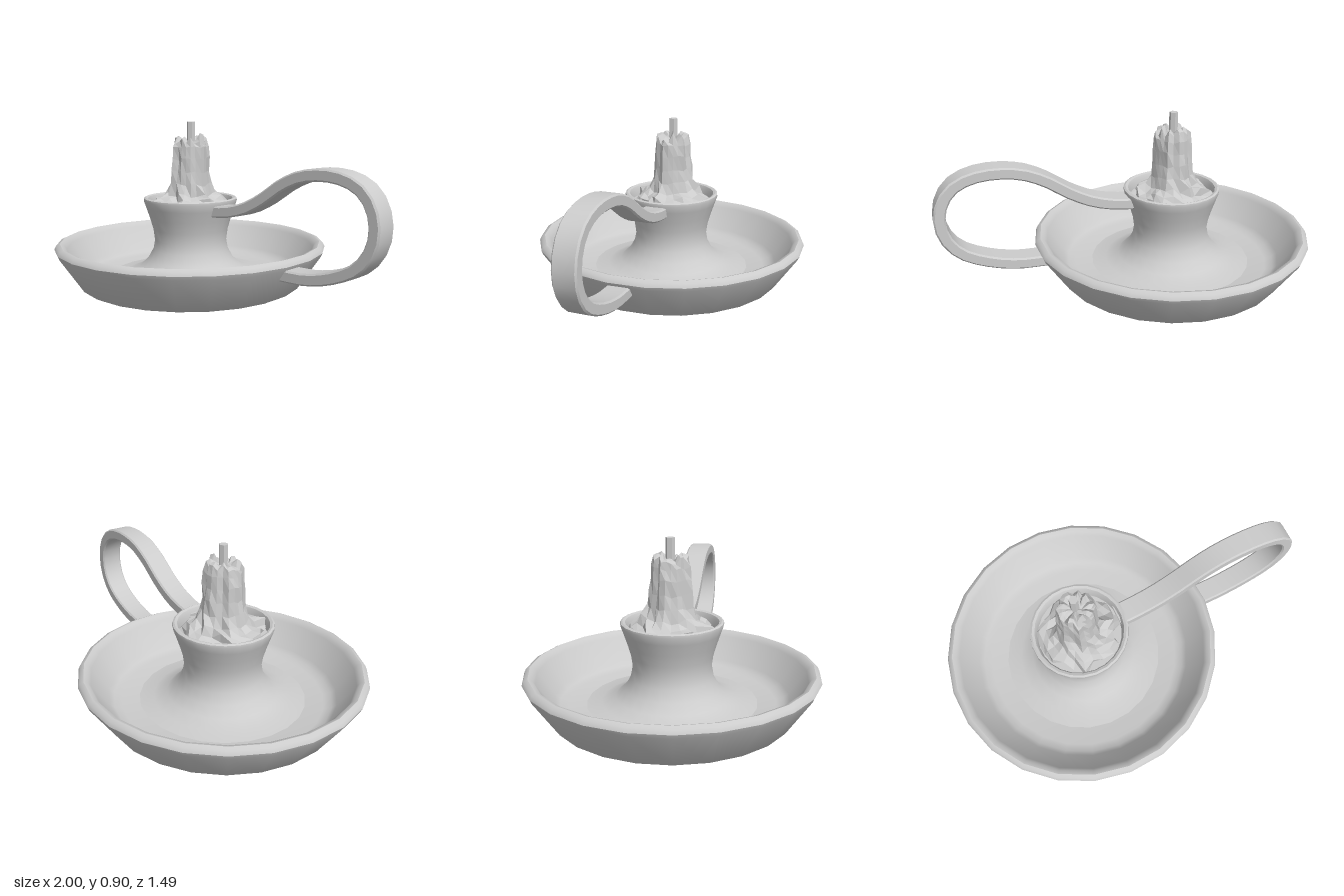
import * as THREE from 'three';
import { toCreasedNormals } from 'three/addons/utils/BufferGeometryUtils.js';

const CENTER_X = -0.255;
const SIDES = 24;

function material(options = {}) {
  return new THREE.MeshStandardMaterial({ color: 0xcccccc, ...options });
}

function seededRandom(seed) {
  let s = seed;
  return () => (s = (s * 16807) % 2147483647) / 2147483647;
}

function toPoints(pairs) {
  return pairs.map(([x, y]) => new THREE.Vector2(x, y));
}

// Smooth turned part with sharp corners kept
function turned(name, profile) {
  const lathe = new THREE.LatheGeometry(toPoints(profile), SIDES, THREE.MathUtils.degToRad(-4.3));
  const mesh = new THREE.Mesh(toCreasedNormals(lathe, 0.75), material());
  mesh.name = name;
  return mesh;
}

// Dish with sloping wall and rounded rim
function createDish() {
  return turned('dish', [
    [0, 0], [0.59, 0], [0.613, 0.012], [0.738, 0.195], [0.747, 0.215], [0.738, 0.235],
    [0.718, 0.245], [0.697, 0.237], [0.682, 0.215], [0.595, 0.095], [0.57, 0.072],
    [0.53, 0.06], [0, 0.06],
  ]);
}

// Waisted candle socket flaring into the dish floor
function createSocket() {
  return turned('socket', [
    [0.45, 0.058], [0.36, 0.07], [0.29, 0.095], [0.24, 0.14], [0.21, 0.195], [0.2, 0.25],
    [0.208, 0.31], [0.225, 0.37], [0.245, 0.43], [0.259, 0.47], [0.258, 0.482],
    [0.248, 0.487], [0.235, 0.482], [0.227, 0.465], [0.222, 0.43], [0, 0.43],
  ]);
}

// Melted candle: a lathe roughened into vertical drips and a craggy pool
function createCandle() {
  const profile = [
    [0.21, 0.43], [0.195, 0.465], [0.165, 0.485], [0.13, 0.51], [0.107, 0.56], [0.1, 0.63],
    [0.097, 0.7], [0.092, 0.76], [0.085, 0.805], [0.062, 0.815], [0.035, 0.795], [0, 0.79],
  ];
  const columns = 22;
  const rows = profile.length;
  const random = seededRandom(77);
  const ridge = Array.from({ length: columns }, () => random() - 0.5);
  const lift = Array.from({ length: columns }, () => random() - 0.5);
  const jitter = Array.from({ length: columns * rows }, () => random() - 0.5);
  const geometry = new THREE.LatheGeometry(toPoints(profile), columns);
  const pos = geometry.attributes.position;
  for (let i = 0; i < pos.count; i++) {
    const row = i % rows;
    const column = Math.floor(i / rows) % columns;
    if (row === rows - 1) continue;
    const j = jitter[column * rows + row];
    const pool = row < 4;
    const scale = 1 + ridge[column] * 0.22 + j * (pool ? 0.2 : 0.12);
    const top = row >= 8 && row <= 9;
    const dy = top ? lift[column] * 0.05 : pool && row > 0 ? j * 0.035 : j * 0.02;
    pos.setXYZ(i, pos.getX(i) * scale, pos.getY(i) + dy, pos.getZ(i) * scale);
  }
  const mesh = new THREE.Mesh(geometry.toNonIndexed(), material({ flatShading: true }));
  mesh.geometry.computeVertexNormals();
  mesh.name = 'candle';
  return mesh;
}

function createWick() {
  const mesh = new THREE.Mesh(
    new THREE.CylinderGeometry(0.023, 0.023, 0.14, 6),
    material({ flatShading: true }),
  );
  mesh.position.set(0, 0.83, -0.008);
  mesh.name = 'wick';
  return mesh;
}

// Looped strap handle: a band around a curve, extruded sideways with bevelled edges
function createHandle() {
  const path = [
    [0.445, 0.168], [0.6, 0.173], [0.75, 0.208], [0.88, 0.272], [0.948, 0.36], [0.968, 0.46],
    [0.942, 0.56], [0.88, 0.63], [0.78, 0.668], [0.66, 0.675], [0.54, 0.655], [0.43, 0.605],
    [0.32, 0.533], [0.2, 0.473], [0.08, 0.441], [-0.03, 0.43],
  ].map(([x, y]) => new THREE.Vector3(x, y, 0));
  const curve = new THREE.CatmullRomCurve3(path, false, 'centripetal');
  const bevel = 0.008;
  const half = 0.03 - bevel;
  const steps = 30;
  const outer = [];
  const inner = [];
  for (let i = 0; i <= steps; i++) {
    const p = curve.getPointAt(i / steps);
    const t = curve.getTangentAt(i / steps);
    outer.push(new THREE.Vector2(p.x + t.y * half, p.y - t.x * half));
    inner.unshift(new THREE.Vector2(p.x - t.y * half, p.y + t.x * half));
  }
  const depth = 0.12 - 2 * bevel;
  const band = new THREE.ExtrudeGeometry(new THREE.Shape([...outer, ...inner]), {
    depth, bevelEnabled: true, bevelSize: bevel, bevelThickness: bevel, bevelSegments: 1,
  });
  band.translate(0, 0, -depth / 2);
  const mesh = new THREE.Mesh(toCreasedNormals(band, 0.6), material());
  mesh.name = 'handle';
  return mesh;
}

export function createModel() {
  const model = new THREE.Group();
  model.name = 'candleHolder';
  const body = new THREE.Group();
  body.name = 'body';
  body.position.x = CENTER_X;
  body.add(createDish(), createSocket(), createCandle(), createWick());
  model.add(body, createHandle());
  return model;
}
